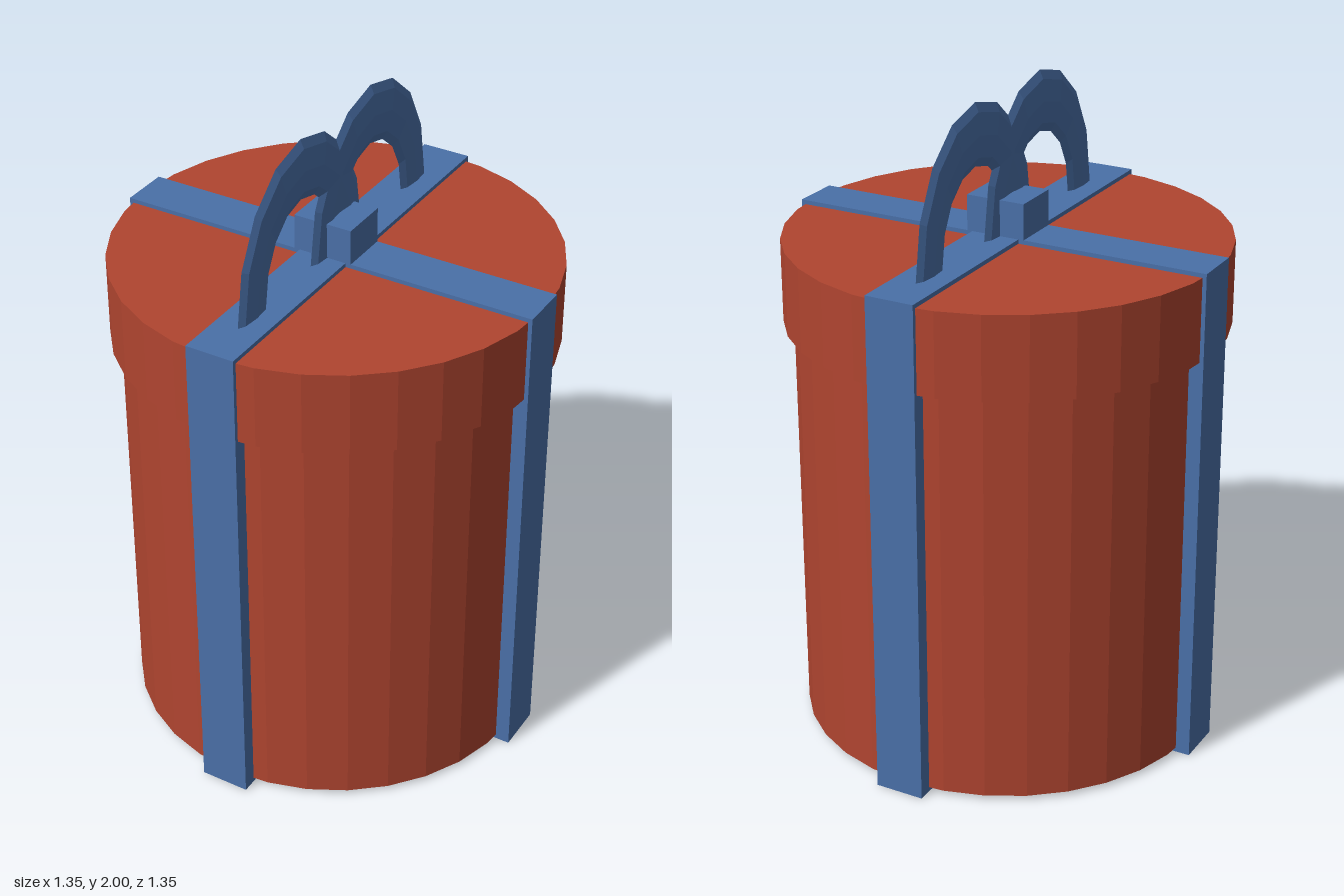
import * as THREE from 'three';

export function createModel() {
  const model = new THREE.Group();
  model.name = 'giftBox';
  const red = new THREE.MeshStandardMaterial({ color: 0xb04530, flatShading: true });
  red.name = 'brick red';
  const blue = new THREE.MeshStandardMaterial({ color: 0x4a70a8, flatShading: true });
  blue.name = 'ribbon blue';

  const add = (name, geometry, material, y = 0, z = 0) => {
    const mesh = new THREE.Mesh(geometry, material);
    mesh.name = name;
    mesh.position.set(0, y, z);
    model.add(mesh);
    return mesh;
  };
  const drum = (name, radius, y0, y1) =>
    add(name, new THREE.CylinderGeometry(radius, radius, y1 - y0, 32), red, (y0 + y1) / 2);

  // Round box and its wider lid
  drum('body', 0.636, 0.014, 1.32);
  drum('lid', 0.668, 1.3, 1.557);

  // Two crossed ribbons wrapping all the way round
  const top = 1.57, width = 0.153, length = 1.346;
  add('ribbonLengthways', new THREE.BoxGeometry(width, top, length), blue, top / 2);
  add('ribbonCrossways', new THREE.BoxGeometry(length, top, width), blue, top / 2);

  // Knot where the ribbons meet
  add('knot', new THREE.BoxGeometry(0.187, 0.12, 0.155), blue, 1.62);

  // Two flat, overlapping bow loops
  for (const side of [1, -1]) {
    const loop = new THREE.TorusGeometry(0.2625, 0.0735, 8, 8, Math.PI);
    loop.scale(1, 1.28, 0.23);
    loop.rotateY(Math.PI / 2);
    add(side > 0 ? 'frontBowLoop' : 'backBowLoop', loop, blue, top, side * 0.193);
  }

  // The whole present is turned slightly
  model.rotation.y = -THREE.MathUtils.degToRad(9);
  const root = new THREE.Group();
  root.name = 'present';
  root.add(model);
  return root;
}
